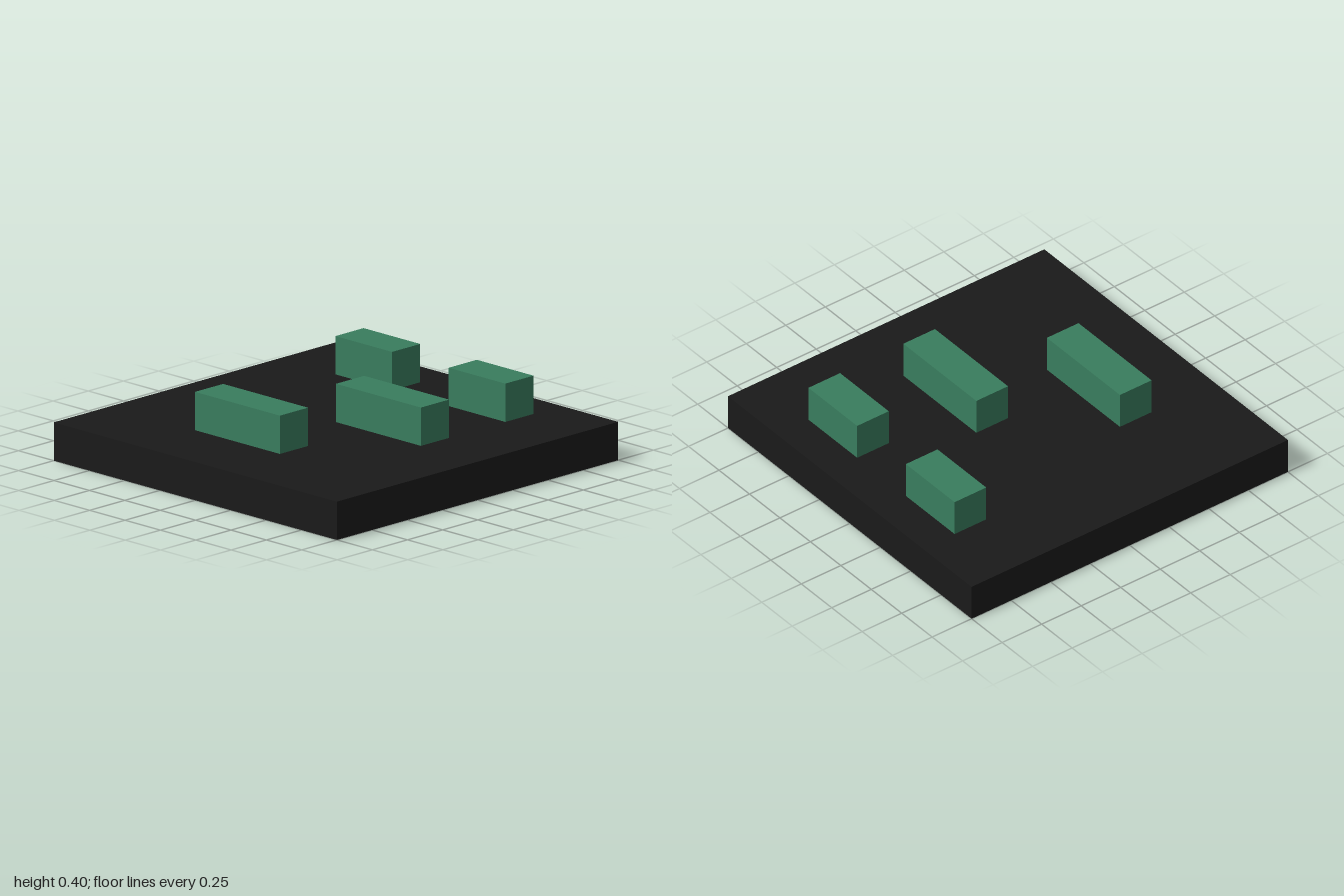
import * as THREE from 'three';

export function createModel() {
  const model = new THREE.Group();
  const dark = new THREE.MeshStandardMaterial({ color: 0x1a1a1a });
  const green = new THREE.MeshStandardMaterial({ color: 0x397d5e });

  function addBox(name, material, [w, h, d], [x, y, z]) {
    const mesh = new THREE.Mesh(new THREE.BoxGeometry(w, h, d), material);
    mesh.name = name;
    mesh.position.set(x, y, z);
    model.add(mesh);
  }

  // Square ground slab
  addBox('base', dark, [2, 0.2, 2], [0, 0.1, 0]);

  // Raised blocks: name, centre x, back z, front z
  const blocks = [
    ['rightBlock', -0.5, -0.4, 0.2],
    ['middleBlock', 0.1, 0, 0.6],
    ['leftBackBlock', 0.7, -0.6, -0.2],
    ['leftFrontBlock', 0.7, 0.2, 0.6],
  ];
  for (const [name, x, back, front] of blocks) {
    addBox(name, green, [0.2, 0.2, front - back], [x, 0.3, (back + front) / 2]);
  }
  return model;
}
